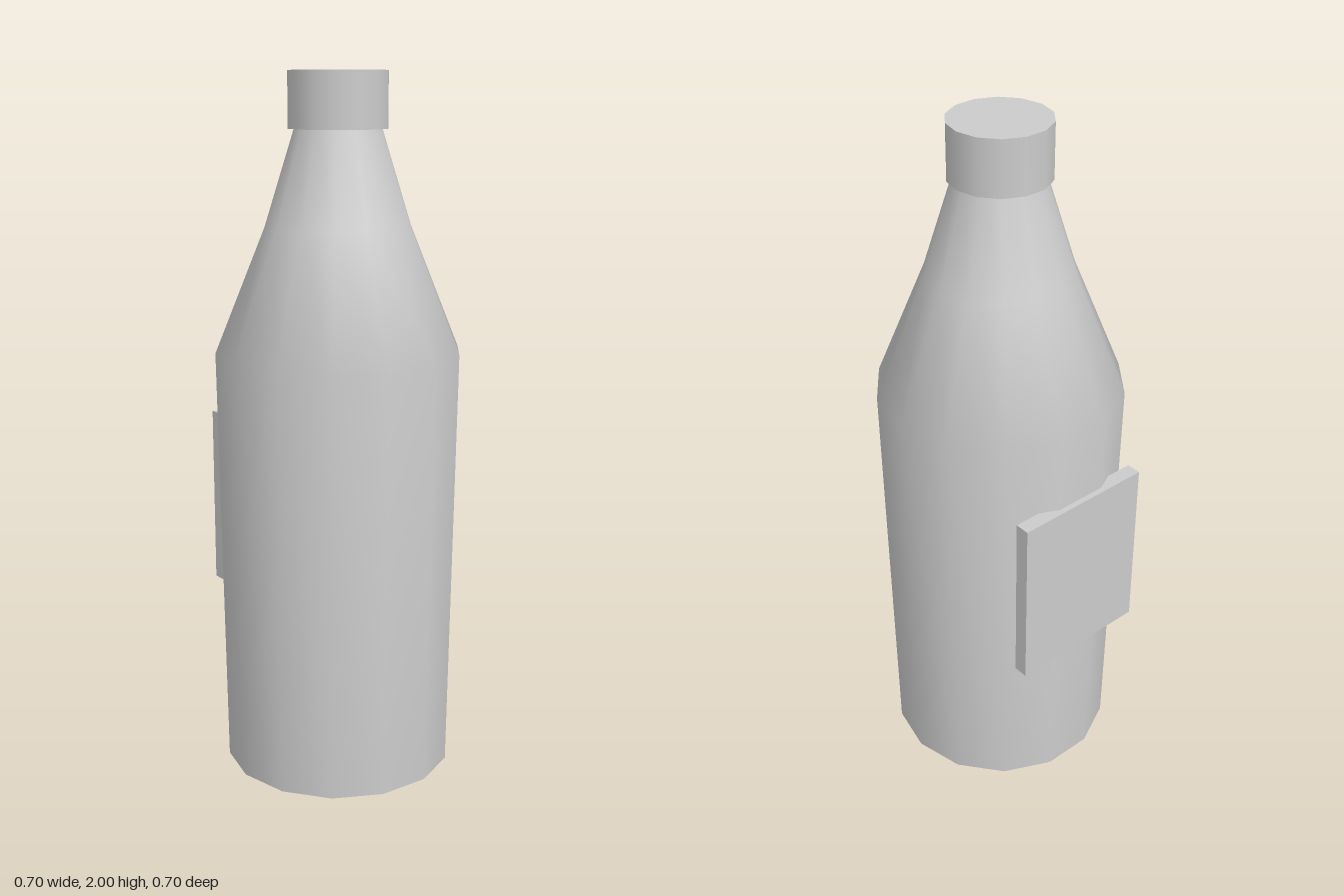
import * as THREE from 'three';

const SIDES = 14;
const CENTRE_Z = 0.005;

export function createModel() {
  const model = new THREE.Group();
  model.name = 'bottle';
  const grey = new THREE.MeshStandardMaterial({ color: 0xcccccc });
  grey.name = 'light grey';

  const add = (name, geometry, x, y, z) => {
    const mesh = new THREE.Mesh(geometry, grey);
    mesh.name = name;
    mesh.position.set(x, y, z);
    model.add(mesh);
    return mesh;
  };

  // Body, shoulder and neck in one smooth turned shell, with a corner on each side
  const profile = [[0.333, 0], [0.35, 1.23], [0.207, 1.58], [0.122, 1.85]]
    .map(([r, y]) => new THREE.Vector2(r, y));
  add('body', new THREE.LatheGeometry(profile, SIDES, Math.PI / 2), 0, 0, CENTRE_Z);

  // Flat bottom with a sharp rim
  const base = add('base', new THREE.CircleGeometry(0.333, SIDES), 0, 0, CENTRE_Z);
  base.rotation.x = Math.PI / 2;

  // Cap, slightly wider than the neck
  const cap = new THREE.CylinderGeometry(0.14, 0.14, 0.155, SIDES, 1, false, Math.PI / 2);
  add('cap', cap, 0, 1.9225, CENTRE_Z);

  // Square plate set into the back
  add('backPlate', new THREE.BoxGeometry(0.42, 0.525, 0.043), 0, 0.7475, -0.3285);

  return model;
}
